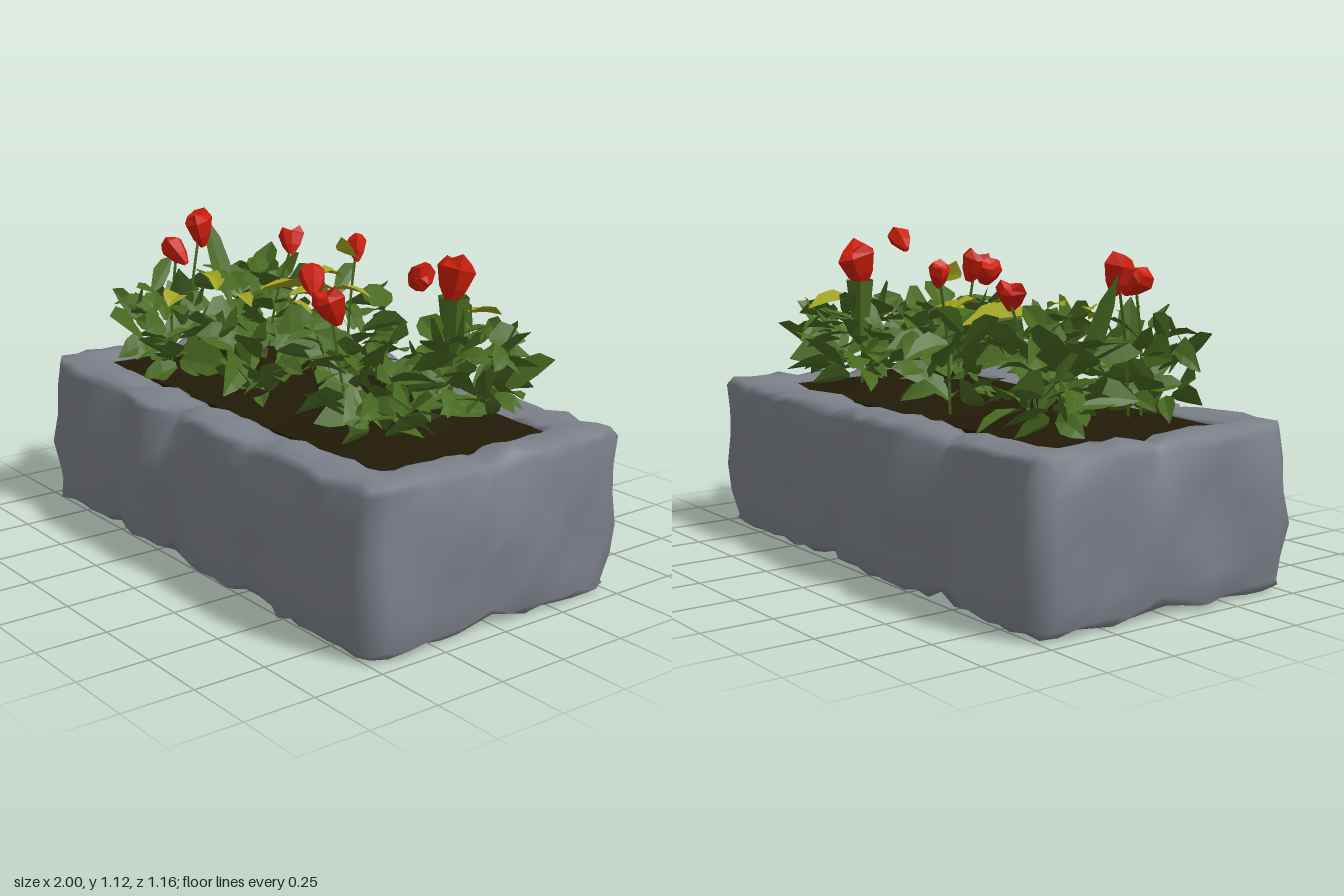
import * as THREE from 'three';
import { mergeGeometries } from 'three/addons/utils/BufferGeometryUtils.js';

const mat = (name, color, extra = {}) => {
  const m = new THREE.MeshStandardMaterial({ color, ...extra });
  m.name = name;
  return m;
};

function seeded(seed) {
  return () => {
    seed = (seed * 1664525 + 1013904223) % 4294967296;
    return seed / 4294967296;
  };
}

const gauss = (d, w) => Math.exp(-(d * d) / (w * w));

// Rough stone surround: a cross-section swept round a rectangle, with lumps and seams.
function stoneGeometry() {
  const rnd = seeded(11);
  const corners = [[-1, 1], [1, 1], [1, -1], [-1, -1]];
  const ring = [];
  corners.forEach(([a, b], i) => {
    const [c, d] = corners[(i + 1) % 4];
    const n = i % 2 ? 14 : 26;
    for (let k = 0; k < n; k++) ring.push([a + (c - a) * k / n, b + (d - b) * k / n, i]);
  });
  // [inner to outer, height]
  const section = [[0, 0.3], [0, 0.035], [0.3, 0.02], [0.85, 0.012], [1, 0.03], [1.02, 0.12], [1.03, 0.23],
    [1.04, 0.34], [1.03, 0.44], [1, 0.525], [0.93, 0.555], [0.5, 0.56], [0.12, 0.55], [0, 0.535], [0, 0.3]];
  const seams = [[-0.5, -0.15, 0.33], [0], [0.25, -0.45], [0]];
  // Lumps on each side: [position, size, width]
  const lumps = [[[-0.2, 0.045, 0.1], [0.55, 0.012, 0.12]], [[0.03, 0.03, 0.12]],
    [[-0.2, 0.05, 0.1], [0.85, 0.025, 0.08]], [[0.35, 0.025, 0.12], [-0.35, 0.025, 0.12]]];
  const pos = [], idx = [], m = section.length;
  ring.forEach(([a, b, side]) => {
    const s = side % 2 ? b * 0.52 : a * 0.95;
    const seam = Math.max(...seams[side].map((c) => gauss(s - c, 0.06)));
    const bulge = lumps[side].reduce((sum, [c, size, w]) => sum + size * gauss(s - c, w), 0);
    const corner = Math.abs(a * b) ** 8;
    section.forEach(([t, y]) => {
      const outer = t > 0.9 ? 1 : 0;
      const edge = Math.min(1, Math.abs(y - 0.3) / 0.25);
      let out = outer * (bulge * gauss(y - 0.34, 0.16) - seam * (0.006 + 0.03 * edge) - corner * 0.022);
      out += outer * (0.007 * Math.sin(s * 13 + y * 9 + side * 2) + (rnd() - 0.5) * 0.026);
      const px = a * (0.79 + 0.172 * t) + (Math.abs(a) === 1 ? a * out : 0);
      const pz = b * (0.34 + 0.182 * t) + (Math.abs(b) === 1 ? b * out : 0);
      let py = y + (t > 0 ? (rnd() - 0.5) * 0.02 : 0);
      if (t > 0) py += (y > 0.3 ? -1 : 1) * seam * 0.03 * edge + (y > 0.5 ? corner * 0.01 : 0);
      pos.push(THREE.MathUtils.clamp(px, -1, 1), Math.max(0, py), pz);
    });
  });
  for (let i = 0; i < ring.length; i++) {
    const j = (i + 1) % ring.length;
    for (let k = 0; k < m - 1; k++) {
      const p = i * m + k, q = j * m + k;
      idx.push(p, q, q + 1, p, q + 1, p + 1);
    }
  }
  const g = new THREE.BufferGeometry();
  g.setAttribute('position', new THREE.Float32BufferAttribute(pos, 3));
  g.setIndex(idx);
  g.computeVertexNormals();
  return g;
}

// Soil block with low mounds on top.
function soilGeometry() {
  const g = new THREE.BoxGeometry(1.6, 0.5, 0.7, 24, 1, 10).translate(0, 0.285, 0);
  const p = g.attributes.position;
  for (let i = 0; i < p.count; i++) {
    if (p.getY(i) < 0.3) continue;
    const x = p.getX(i), z = p.getZ(i);
    p.setY(i, 0.54 + 0.07 * gauss(Math.abs(x) - 0.5, 0.15) * gauss(z + 0.03, 0.2));
  }
  g.computeVertexNormals();
  return g;
}

// Folded, pointed leaf that arches out from its root.
function leaf(x, y, z, yaw, len, rise, droop, width, roll) {
  const dx = Math.cos(yaw), dz = Math.sin(yaw);
  const wide = [0.25, 1, 0.8, 0.04], pos = [], idx = [];
  wide.forEach((w, i) => {
    const s = i / 3;
    const cx = x + dx * len * s, cy = y + rise * s - droop * s * s, cz = z + dz * len * s;
    for (const e of [-1, 0, 1]) {
      const o = e * w * width;
      const fold = Math.abs(o) * 0.35;
      pos.push(cx - dz * o * Math.cos(roll), cy + fold + o * Math.sin(roll), cz + dx * o * Math.cos(roll));
    }
    if (i < 3) for (const k of [0, 1]) {
      const a = i * 3 + k;
      idx.push(a, a + 4, a + 1, a, a + 3, a + 4);
    }
  });
  const g = new THREE.BufferGeometry();
  g.setAttribute('position', new THREE.Float32BufferAttribute(pos, 3));
  g.setIndex(idx);
  g.computeVertexNormals();
  return g;
}

// Tangle of leaves, narrow at the soil and spreading above.
function clump(x, z, count, rx, rz, seed) {
  const rnd = seeded(seed), parts = [];
  for (let i = 0; i < count; i++) {
    const h = i / count, around = i * 2.4 + rnd() * 0.6;
    const r = (0.1 + 0.6 * Math.sqrt(rnd())) * Math.min(1, 0.4 + h * 2);
    const yaw = around + (rnd() - 0.5) * 3.6;
    parts.push(leaf(x + Math.cos(around) * r * rx, 0.58 + h * 0.26, z + Math.sin(around) * r * rz, yaw,
      0.08 + rnd() * 0.1, (rnd() - 0.35) * 0.2 * (1 - 0.4 * h) + 0.03, rnd() * 0.06,
      0.03 + rnd() * 0.035, (rnd() - 0.5) * 2.4));
  }
  return mergeGeometries(parts);
}

// Crumpled bud: narrow base, flared middle, closed top.
function budGeometry(size, seed) {
  const rnd = seeded(seed);
  const profile = [[0.012, -0.07], [0.036, -0.03], [0.052, 0.025], [0.035, 0.055], [0, 0.045]];
  const g = new THREE.LatheGeometry(profile.map(([r, y]) => new THREE.Vector2(r, y)), 6);
  const wobble = Array.from({ length: 6 }, () => 0.7 + rnd() * 0.6);
  const p = g.attributes.position;
  for (let i = 0; i < p.count; i++) {
    const w = wobble[Math.floor(i / profile.length) % 6];
    p.setXYZ(i, p.getX(i) * w, p.getY(i) * (i % profile.length === 3 ? w : 1), p.getZ(i) * w);
  }
  return g.scale(size, size, size);
}

export function createModel() {
  const model = new THREE.Group();
  model.name = 'stonePlanter';
  const flat = { flatShading: true, side: THREE.DoubleSide };
  const stone = mat('stoneGrey', 0x7c8089, { side: THREE.DoubleSide });
  const soil = mat('darkSoil', 0x211a07);
  const green = mat('leafGreen', 0x486921, flat);
  const yellow = mat('leafYellow', 0xa0a321, flat);
  const red = mat('flowerRed', 0xcc1d0a, flat);
  const add = (name, geometry, material, parent = model) => {
    const mesh = new THREE.Mesh(geometry, material);
    mesh.name = name;
    parent.add(mesh);
    return mesh;
  };

  add('stoneSurround', stoneGeometry(), stone);
  add('soil', soilGeometry(), soil);

  // Six leafy plants: x, z, leaf count, spread in x and z
  [[-0.62, -0.2, 60, 0.19, 0.19], [-0.1, -0.21, 40, 0.2, 0.17], [0.57, -0.2, 68, 0.22, 0.18],
    [-0.54, 0.25, 46, 0.23, 0.15], [-0.03, 0.23, 48, 0.25, 0.15], [0.56, 0.17, 68, 0.21, 0.19]]
    .forEach(([x, z, n, rx, rz], i) => add('plant' + (i + 1), clump(x, z, n, rx, rz, 31 + i * 17), green));

  // Tall upright leaves
  add('tallLeaves', mergeGeometries([
    leaf(-0.66, 0.74, -0.1, 2.9, 0.12, 0.31, 0, 0.05, 0.3),
    leaf(-0.52, 0.72, 0.2, 0.8, 0.06, 0.22, 0, 0.05, -0.4),
    leaf(0.5, 0.72, -0.18, 4.4, 0.05, 0.24, 0, 0.05, 0.4),
    leaf(0.42, 0.7, 0.24, 2, 0.06, 0.2, 0, 0.05, 0.2),
    leaf(0.62, 0.72, -0.24, 5.5, 0.14, 0.16, 0.02, 0.06, 0.6),
    leaf(-0.7, 0.78, -0.25, 4.2, 0.14, 0.14, 0, 0.06, 0.2),
    leaf(-0.45, 0.84, -0.1, 0.3, 0.2, 0.09, 0.02, 0.04, 0.5),
  ]), green);

  // Yellowing leaves: x, y, z, yaw, length, half width, roll
  add('yellowLeaves', mergeGeometries([
    [-0.28, 0.87, 0.02, -1.25, 0.28, 0.085, 0.2], [-0.11, 0.88, 0.02, -1.1, 0.14, 0.05, 0], [-0.06, 0.89, -0.14, -0.5, 0.14, 0.04, 0.2],
    [-0.18, 0.92, -0.16, -1.2, 0.09, 0.05, 0], [0.47, 0.88, -0.24, -1.5, 0.19, 0.06, 0.2], [-0.56, 0.89, 0.08, 0.2, 0.14, 0.035, 0],
    [-0.38, 0.87, 0.3, 1, 0.1, 0.045, 0.2], [-0.2, 0.89, 0.18, 0.2, 0.12, 0.03, 0], [0, 0.89, 0.12, -0.2, 0.12, 0.03, 0.2],
    [-0.42, 0.9, 0.12, 0.6, 0.12, 0.03, 0.2], [-0.15, 1.01, -0.215, -0.2, 0.1, 0.035, 1.2],
  ].map(([x, y, z, yaw, len, w, roll]) => leaf(x, y, z, yaw, len, 0.03, 0.05, w, roll))), yellow);

  // Flowers: x, y, z, size, tilt x, tilt z, then the stem foot x and z where there is a stem
  [[-0.64, 1.04, 0.05, 1, 0.2, 0.1, -0.58, 0.15], [-0.53, 1, 0.22, 0.95, 0.3, 0.8, -0.54, 0.24],
    [-0.51, 0.98, -0.28, 0.8, -0.3, 0.4, -0.58, -0.22], [-0.11, 1.015, -0.27, 0.75, -0.3, 0.5, -0.09, -0.22],
    [0.12, 0.99, 0.1, 0.95, -0.5, 0.7], [0.475, 1.01, -0.23, 1.2, -0.3, 0, 0.5, -0.2],
    [0.62, 1.07, 0.05, 0.85, 0.2, -1.1], [0.45, 0.98, 0.27, 0.9, 0.3, 0.2, 0.5, 0.22]]
    .forEach(([x, y, z, size, tx, tz, fx, fz], i) => {
      const flower = new THREE.Group();
      flower.name = 'flower' + (i + 1);
      const bud = add('bud', budGeometry(size, 5 + i * 7), red, flower);
      bud.position.set(x, y, z);
      bud.rotation.set(tx, 0, tz);
      bud.scale.z = size > 1 ? 1.5 : 1.1;
      if (fx !== undefined) {
        const curve = new THREE.CatmullRomCurve3([
          new THREE.Vector3(fx, 0.54, fz), new THREE.Vector3((x + fx) / 2, 0.78, (z + fz) / 2 + 0.01),
          new THREE.Vector3(x, y - 0.03, z)]);
        add('stem', new THREE.TubeGeometry(curve, 4, 0.006, 4), green, flower);
      }
      model.add(flower);
    });

  // Green cup under the largest flower
  add('flowerCup', new THREE.CylinderGeometry(0.055, 0.03, 0.2, 6, 1, true).translate(0.475, 0.85, -0.22), green);
  return model;
}
